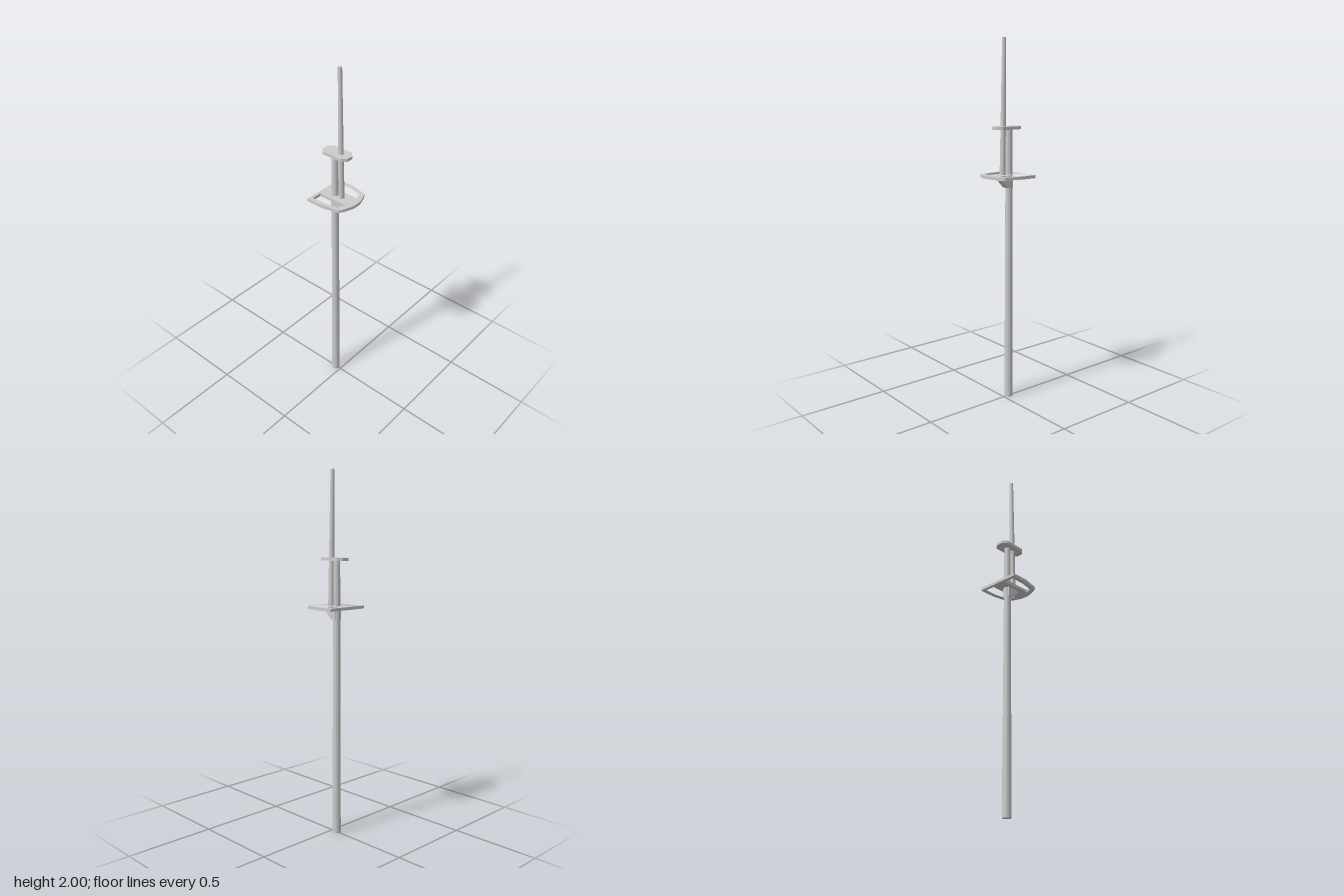
import * as THREE from 'three';

const material = new THREE.MeshStandardMaterial({ color: 0xcccccc });

function part(name, geometry) {
  const mesh = new THREE.Mesh(geometry, material);
  mesh.name = name;
  return mesh;
}

// Mirrors a half outline of [x, z] points, listed from back to front
const mirrored = (half) => [...half, ...half.map(([x, z]) => [-x, z]).reverse()];
const toPoints = (list) => list.map(([x, z]) => new THREE.Vector2(x, -z));

// Flat horizontal plate with its underside at y
function plate(outline, holes, y, thickness) {
  const shape = new THREE.Shape(toPoints(outline));
  holes.forEach((h) => shape.holes.push(new THREE.Path(toPoints(h))));
  const geometry = new THREE.ExtrudeGeometry(shape, { depth: thickness, bevelEnabled: false });
  return geometry.rotateX(-Math.PI / 2).translate(0, y, 0);
}

// Tapered round spar, sheared so it can lean along z
function spar(y0, y1, r0, r1, z0, z1) {
  const h = y1 - y0;
  const geometry = new THREE.CylinderGeometry(r1, r0, h, 16);
  const shear = new THREE.Matrix4().set(
    1, 0, 0, 0,
    0, 1, 0, (y0 + y1) / 2,
    0, (z1 - z0) / h, 1, (z0 + z1) / 2,
    0, 0, 0, 1);
  return geometry.applyMatrix4(shear);
}

export function createModel() {
  const group = new THREE.Group();
  group.name = 'mast';

  // Spars
  group.add(part('lowerMast', spar(0, 1.53, 0.024, 0.018, -0.035, -0.035)));
  group.add(part('topMast', spar(1.25, 2, 0.0165, 0.0105, 0.009, -0.002)));

  // Platform with an opening on either side
  const platform = mirrored([
    [0.125, -0.117], [0.125, -0.017], [0.105, 0.078], [0.085, 0.09],
    [0.045, 0.105], [0.02, 0.112],
  ]);
  const opening = [[0.045, -0.1], [0.1, -0.1], [0.1, -0.02], [0.085, 0.06], [0.045, 0.075]];
  const openings = [opening, opening.map(([x, z]) => [-x, z])];
  group.add(part('platform', plate(platform, openings, 1.267, 0.016)));

  // Octagonal cap joining the two spars
  const cap = mirrored([[0.02, -0.102], [0.043, -0.08], [0.043, 0.04], [0.02, 0.065]]);
  group.add(part('mastCap', plate(cap, [], 1.525, 0.016)));

  // Sloped bracket below the platform, drawn in (z, y) and extruded across x
  const bracket = new THREE.Shape([
    [0.026, 1.268], [0.026, 1.25], [-0.012, 1.21], [-0.046, 1.21], [-0.046, 1.268],
  ].map(([z, y]) => new THREE.Vector2(z, y)));
  const bracketGeometry = new THREE.ExtrudeGeometry(bracket, { depth: 0.044, bevelEnabled: false });
  bracketGeometry.rotateY(-Math.PI / 2).translate(0.022, 0, 0);
  group.add(part('bracket', bracketGeometry));

  return group;
}
